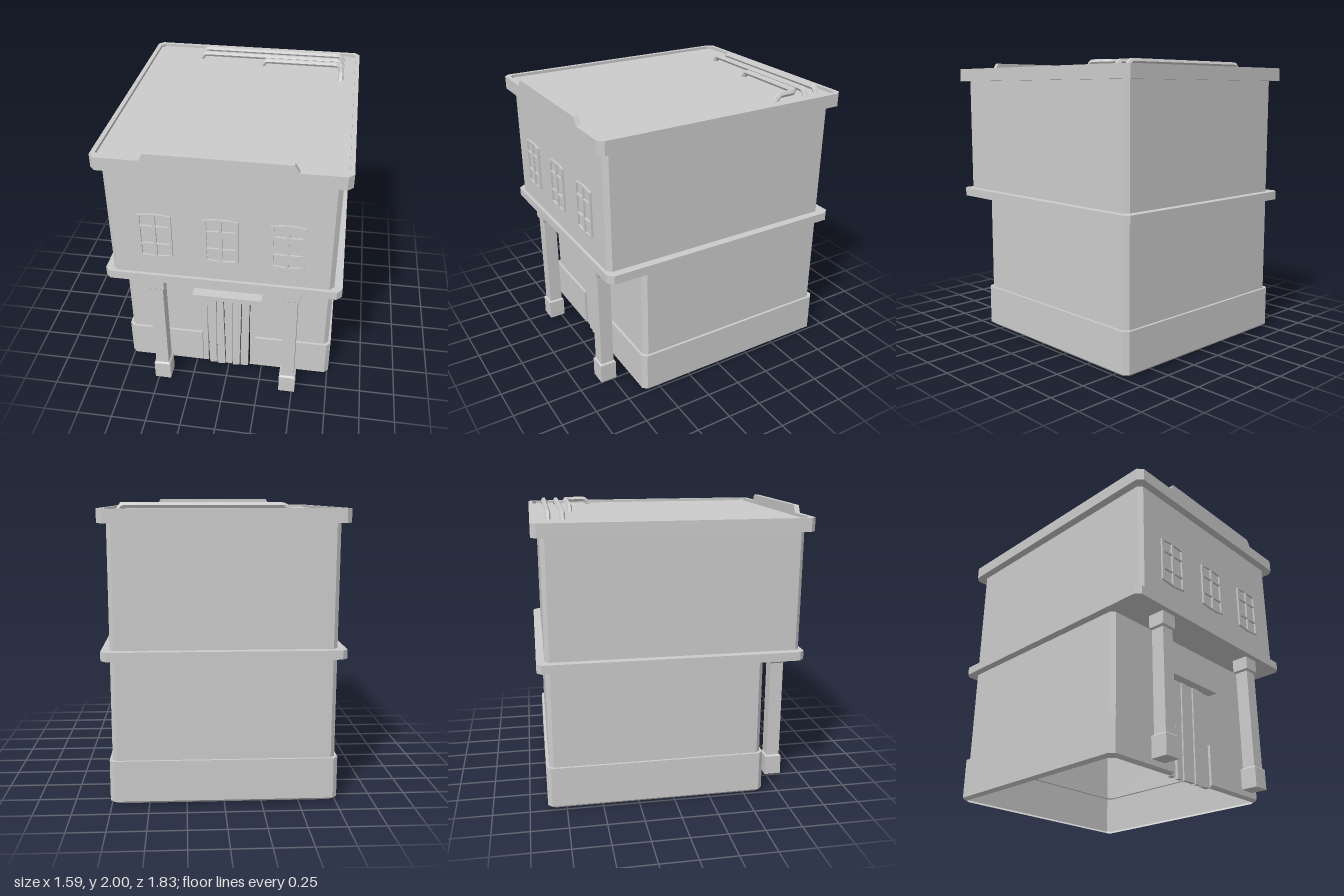
import * as THREE from 'three';

const mat = new THREE.MeshStandardMaterial({ color: 0xcccccc, flatShading: true, side: THREE.DoubleSide });

// Rectangle with cut corners, as [x, z] points, starting and ending on the front side
function outline(hx, front, back, c) {
  return [
    [hx - c, front], [hx, front - c], [hx, back + c], [hx - c, back],
    [-hx + c, back], [-hx, back + c], [-hx, front - c], [-hx + c, front],
  ];
}

// Vertical extrusion of an [x, z] outline, with an optional hole
function slab(pts, y0, y1, hole) {
  const toV = (p) => p.map(([x, z]) => new THREE.Vector2(x, -z));
  const shape = new THREE.Shape(toV(pts));
  if (hole) shape.holes.push(new THREE.Path(toV(hole)));
  const geo = new THREE.ExtrudeGeometry(shape, { depth: y1 - y0, bevelEnabled: false });
  return geo.rotateX(-Math.PI / 2).translate(0, y0, 0);
}

// Extrusion towards the front of an [x, y] outline
function plate(pts, z0, z1, holes = []) {
  const toV = (p) => p.map(([x, y]) => new THREE.Vector2(x, y));
  const shape = new THREE.Shape(toV(pts));
  holes.forEach((h) => shape.holes.push(new THREE.Path(toV(h))));
  return new THREE.ExtrudeGeometry(shape, { depth: z1 - z0, bevelEnabled: false }).translate(0, 0, z0);
}

function box(x0, x1, y0, y1, z0, z1) {
  return new THREE.BoxGeometry(x1 - x0, y1 - y0, z1 - z0)
    .translate((x0 + x1) / 2, (y0 + y1) / 2, (z0 + z1) / 2);
}

// Open-bottomed wall skin joining stacked outlines, with a gap at the door
function wallSkin(profile, gap) {
  const pos = [], idx = [];
  const n = 10;
  profile.forEach(([out, y], r) => {
    const ring = outline(0.74 + out, 0.615 + out, -0.86 - out, 0.03);
    const front = 0.615 + out;
    [[gap, front], ...ring, [-gap, front]].forEach(([x, z]) => pos.push(x, y, z));
    if (r === 0) return;
    for (let i = 0; i < n - 1; i++) {
      const a = (r - 1) * n + i, b = a + n;
      idx.push(a, b, a + 1, a + 1, b, b + 1);
    }
  });
  const geo = new THREE.BufferGeometry();
  geo.setAttribute('position', new THREE.Float32BufferAttribute(pos, 3));
  geo.setIndex(idx);
  geo.computeVertexNormals();
  return geo;
}

export function createModel() {
  const model = new THREE.Group();
  const add = (name, geo, parent = model) => {
    const mesh = new THREE.Mesh(geo, mat);
    mesh.name = name;
    parent.add(mesh);
    return mesh;
  };
  const group = (name) => {
    const g = new THREE.Group();
    g.name = name;
    model.add(g);
    return g;
  };

  // Ground floor: hollow walls with a thicker skirt at the bottom
  add('lowerWalls', wallSkin([[-0.005, 0.01], [0.018, 0.03], [0.018, 0.31], [0, 0.31], [0, 0.99]], 0.2));
  add('wallAboveDoor', box(-0.2, 0.2, 0.69, 0.99, 0.61, 0.615));

  // Upper floor, ledge and roof
  add('floorLedge', slab(outline(0.795, 0.885, -0.915, 0.035), 0.99, 1.05));
  add('upperWalls', slab(outline(0.74, 0.863, -0.86, 0.03), 1.05, 1.86));
  const rim = outline(0.765, 0.88, -0.885, 0.03);
  add('cornice', slab(outline(0.795, 0.915, -0.915, 0.035), 1.86, 1.95, rim));
  add('roof', slab(rim, 1.86, 1.93));
  add('parapet', plate([[-0.48, 1.95], [0.48, 1.95], [0.45, 2], [-0.45, 2]], 0.88, 0.915));

  // Door: jambs, uneven planks and lintel
  const door = group('door');
  for (const s of [-1, 1]) {
    const jamb = [0.16 * s, 0.2 * s].sort((a, b) => a - b);
    add('doorJamb', box(...jamb, 0.01, 0.69, 0.58, 0.615), door);
    add('skirtEnd', box(0.2 * s - 0.002, 0.2 * s + 0.002, 0.03, 0.31, 0.612, 0.633), door);
  }
  const top = [-0.16, -0.085, -0.035, 0.035, 0.1, 0.16];
  const foot = [-0.15, -0.093, -0.025, 0.028, 0.085, 0.15];
  for (let i = 0; i < 5; i++) {
    const z = 0.598 + (i % 2) * 0.006;
    const g = 0.003;
    add('doorPlank', plate([
      [foot[i] + g, i === 2 ? 0.005 : 0], [foot[i + 1] - g, 0.004],
      [top[i + 1] - g, 0.692], [top[i] + g, 0.692],
    ], z, z + 0.026), door);
  }
  add('lintel', plate([[-0.235, 0.69], [0.235, 0.69], [0.247, 0.73], [-0.247, 0.73]], 0.6, 0.69), door);

  // Porch columns
  for (const s of [-1, 1]) {
    const column = group(s > 0 ? 'leftColumn' : 'rightColumn');
    // square section given as [half width, height]
    const profile = [[0, 0.02], [0.059, 0.02], [0.059, 0.16], [0.047, 0.17], [0.047, 0.885],
      [0.059, 0.897], [0.059, 0.99], [0, 0.99]];
    const pts = profile.map(([w, y]) => new THREE.Vector2(w * Math.SQRT2, y));
    const geo = new THREE.LatheGeometry(pts, 4).rotateY(Math.PI / 4).toNonIndexed();
    geo.translate(0.463 * s, 0, 0.79);
    add('columnShaft', geo, column);
  }

  // Windows: gently arched frames with six panes each
  const bow = (x) => 0.013 * (1 - (x / 0.112) ** 2);
  const frame = [], steps = [-0.112, -0.056, 0, 0.056, 0.112];
  steps.forEach((x) => frame.push([x, 1.208 - bow(x)]));
  [...steps].reverse().forEach((x) => frame.push([x, 1.525 + bow(x)]));
  const panes = [];
  for (const [x0, x1] of [[-0.092, -0.009], [0.009, 0.092]]) {
    panes.push([[x0, 1.22 - bow(x0)], [x1, 1.22 - bow(x1)], [x1, 1.297], [x0, 1.297]]);
    panes.push([[x0, 1.309], [x1, 1.309], [x1, 1.433], [x0, 1.433]]);
    panes.push([[x0, 1.445], [x1, 1.445], [x1, 1.513 + bow(x1)], [x0, 1.513 + bow(x0)]]);
  }
  for (const x of [-0.43, 0, 0.43]) {
    add('windowFrame', plate(frame, 0.86, 0.876, panes)).position.x = x;
  }

  // Roof pipes, turned down into the roof at their ends
  const pipes = group('roofPipes');
  const pipe = (pts) => {
    const curve = new THREE.CurvePath();
    const v = pts.map((p) => new THREE.Vector3(...p));
    // straight runs joined by short rounded bends
    let from = v[0];
    for (let i = 1; i < v.length - 1; i++) {
      const a = v[i].clone().add(v[i - 1].clone().sub(v[i]).setLength(0.018));
      const b = v[i].clone().add(v[i + 1].clone().sub(v[i]).setLength(0.018));
      curve.add(new THREE.LineCurve3(from, a));
      curve.add(new THREE.QuadraticBezierCurve3(a, v[i], b));
      from = b;
    }
    curve.add(new THREE.LineCurve3(from, v[v.length - 1]));
    add('roofPipe', new THREE.TubeGeometry(curve, 90, 0.02, 6), pipes);
  };
  for (const z of [-0.795, -0.7]) {
    pipe([[-0.415, 1.92, z], [-0.385, 1.968, z], [0.645, 1.968, z], [0.675, 1.92, z]]);
  }
  pipe([[0.065, 1.92, -0.625], [0.095, 1.968, -0.625], [0.635, 1.968, -0.625],
    [0.66, 1.968, -0.585], [0.665, 1.968, -0.47], [0.665, 1.92, -0.435]]);

  return model;
}
